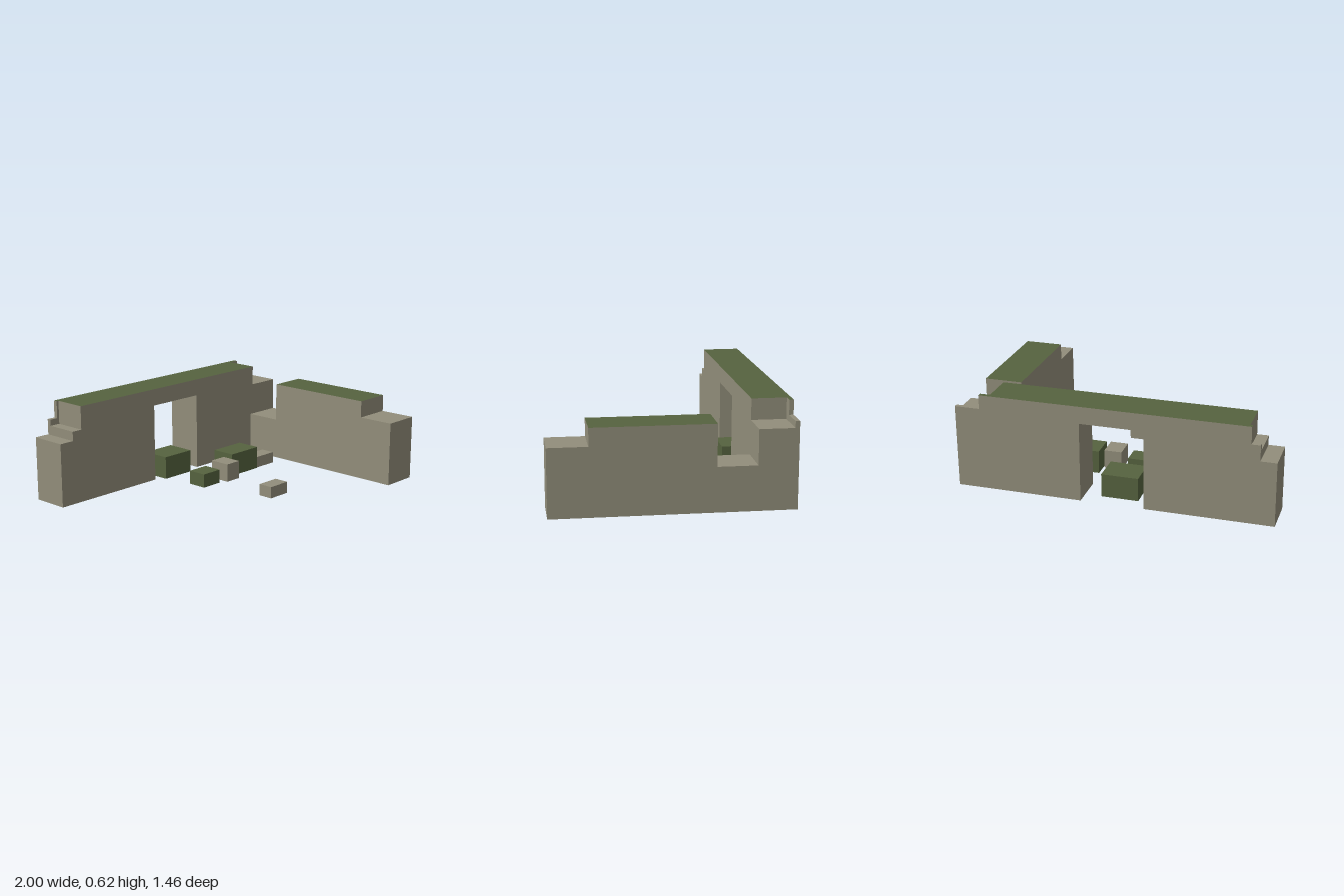
import * as THREE from 'three';

const stone = new THREE.MeshStandardMaterial({ color: 0x928e7b, side: THREE.DoubleSide });
stone.name = 'stone';
const moss = new THREE.MeshStandardMaterial({ color: 0x56633f, side: THREE.DoubleSide });
moss.name = 'moss';

// Opens the underside at y = 0 and paints upward faces above mossY green.
function openShell(source, mossY = Infinity) {
  const p = (source.index ? source.toNonIndexed() : source).getAttribute('position');
  const sides = [], tops = [];
  const a = new THREE.Vector3(), b = new THREE.Vector3(), c = new THREE.Vector3();
  const n = new THREE.Vector3();
  for (let i = 0; i < p.count; i += 3) {
    a.fromBufferAttribute(p, i);
    b.fromBufferAttribute(p, i + 1);
    c.fromBufferAttribute(p, i + 2);
    if (Math.max(a.y, b.y, c.y) < 1e-4) continue;
    n.copy(b).sub(a).cross(c.clone().sub(a)).normalize();
    const list = n.y > 0.9 && a.y > mossY ? tops : sides;
    for (const v of [a, b, c]) list.push(v.x, v.y, v.z);
  }
  const geo = new THREE.BufferGeometry();
  geo.setAttribute('position', new THREE.Float32BufferAttribute([...sides, ...tops], 3));
  geo.addGroup(0, sides.length / 3, 0);
  if (tops.length) geo.addGroup(sides.length / 3, tops.length / 3, 1);
  geo.computeVertexNormals();
  return geo;
}

// Box given by its limits on each axis.
function boxBetween(x0, x1, y0, y1, z0, z1) {
  return new THREE.BoxGeometry(x1 - x0, y1 - y0, z1 - z0)
    .translate((x0 + x1) / 2, (y0 + y1) / 2, (z0 + z1) / 2);
}

function profile(points) {
  return new THREE.Shape(points.map(([x, y]) => new THREE.Vector2(x, y)));
}

export function createModel() {
  const model = new THREE.Group();
  model.name = 'ruinedWalls';
  const add = (name, geometry, material) => {
    const mesh = new THREE.Mesh(geometry, material);
    mesh.name = name;
    model.add(mesh);
  };

  // Back wall with a doorway and crumbled, stepped ends
  const backShape = profile([
    [-1, 0], [-0.2, 0], [-0.2, 0.51], [0.2, 0.51], [0.2, 0], [1, 0],
    [1, 0.49], [0.775, 0.49], [0.775, 0.62], [-0.83, 0.62],
    [-0.83, 0.47], [-0.9, 0.47], [-0.9, 0.41], [-1, 0.41],
  ]);
  const back = new THREE.ExtrudeGeometry(backShape, { depth: 0.24, bevelEnabled: false });
  back.translate(0, 0, -0.73);
  add('backWall', openShell(back, 0.6), [stone, moss]);

  // Thin remains standing along the rear edge of the broken ends
  const remains = [
    [-0.9, -0.845, 0.47, 0.51],
    [-0.845, -0.83, 0.47, 0.62],
    [0.775, 0.84, 0.49, 0.62],
    [0.84, 1, 0.49, 0.53],
  ];
  for (const [x0, x1, y0, y1] of remains) {
    add('wallRemnant', openShell(boxBetween(x0, x1, y0, y1, -0.73, -0.703), 0.6), [stone, moss]);
  }

  // Side wall: profile drawn along -z, then turned to run along the left side
  const sideShape = profile([
    [-0.73, 0], [0.49, 0], [0.49, 0.275], [0.25, 0.275],
    [0.25, 0.53], [-0.49, 0.53], [-0.49, 0.42], [-0.73, 0.42],
  ]);
  const side = new THREE.ExtrudeGeometry(sideShape, { depth: 0.245, bevelEnabled: false });
  side.rotateY(Math.PI / 2).translate(0.755, 0, 0);
  add('sideWall', openShell(side, 0.5), [stone, moss]);

  // Fallen blocks: x0, x1, height, z0, z1, material
  const blocks = [
    [-0.14, 0.095, 0.15, -0.64, -0.45, moss],
    [-0.108, 0.042, 0.09, -0.255, -0.127, moss],
    [0.09, 0.205, 0.12, -0.243, -0.102, stone],
    [0.212, 0.465, 0.15, -0.333, -0.17, moss],
    [0.465, 0.64, 0.075, -0.275, -0.177, stone],
    [0.02, 0.178, 0.075, 0.245, 0.343, stone],
  ];
  for (const [x0, x1, h, z0, z1, material] of blocks) {
    add('fallenBlock', openShell(boxBetween(x0, x1, 0, h, z0, z1)), material);
  }

  return model;
}
